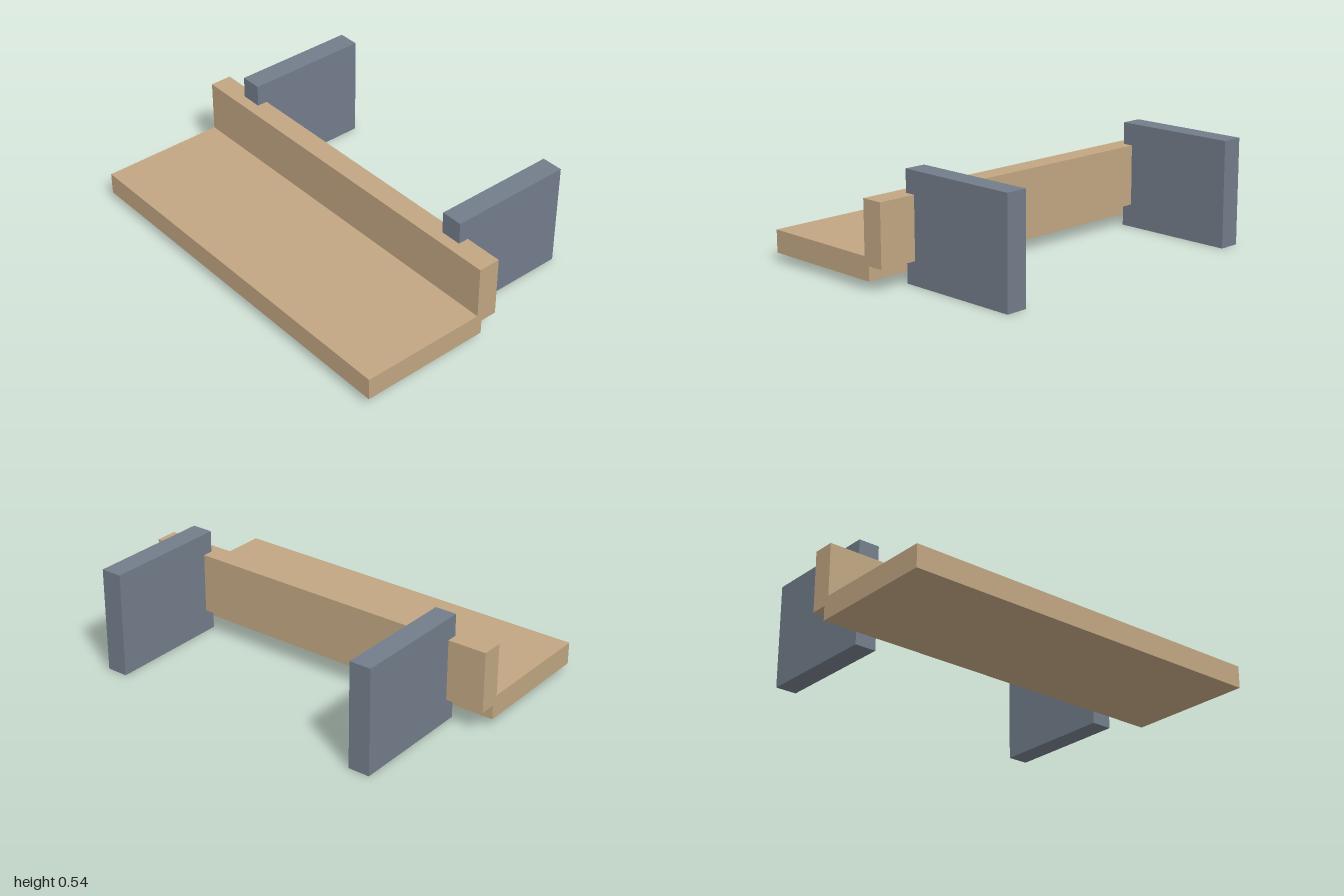
import * as THREE from 'three';

const wood = new THREE.MeshStandardMaterial({ color: 0xc1a682 });
const slate = new THREE.MeshStandardMaterial({ color: 0x727c8a });

// Box given by its [min, max] extents along each axis
function slab(name, material, [x0, x1], [y0, y1], [z0, z1]) {
  const mesh = new THREE.Mesh(new THREE.BoxGeometry(x1 - x0, y1 - y0, z1 - z0), material);
  mesh.position.set((x0 + x1) / 2, (y0 + y1) / 2, (z0 + z1) / 2);
  mesh.name = name;
  return mesh;
}

export function createModel() {
  const model = new THREE.Group();
  model.name = 'shelf';

  // Wide shelf board and the upright board along its back edge
  model.add(slab('shelfBoard', wood, [-1, 1], [0.045, 0.16], [0.002, 0.685]));
  model.add(slab('backBoard', wood, [-1, 1], [0.118, 0.43], [-0.085, 0.03]));

  // Two upright support panels let into the back board
  for (const [name, side] of [['leftSupport', 1], ['rightSupport', -1]]) {
    const support = slab(name, slate, [-0.056, 0.056], [0, 0.543], [-0.685, -0.03]);
    support.position.x = side * 0.743;
    model.add(support);
  }
  return model;
}
